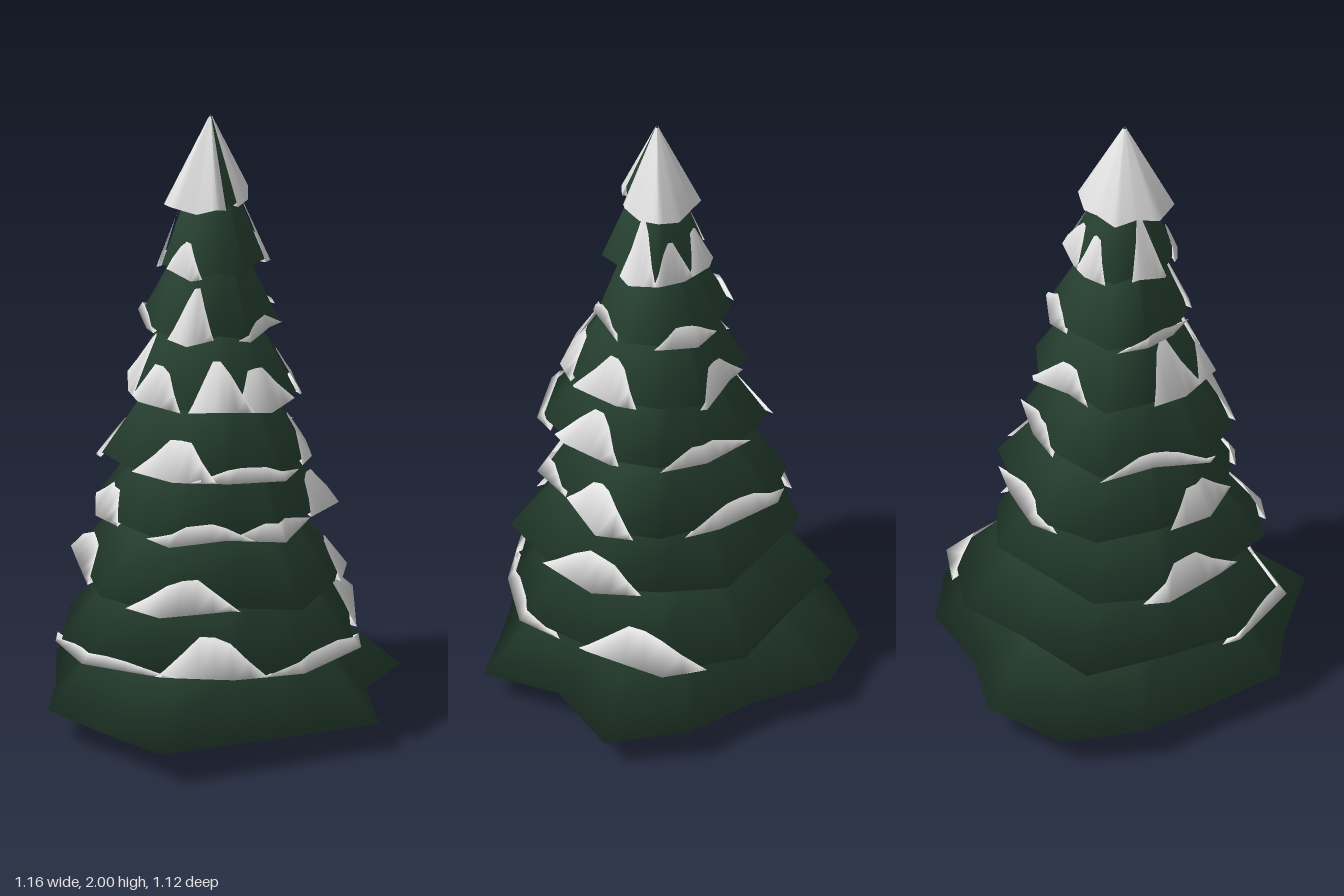
import * as THREE from 'three';

const CX = 0.04, CZ = 0.04; // tree axis

// Lowest rim as [x, z] corners, running from the left side towards the front
const SKIRT = [
  [0.51, 0.06], [0.4, 0.53], [0.12, 0.525], [-0.115, 0.56], [-0.31, 0.37], [-0.5, 0.215], [-0.585, -0.02],
  [-0.485, -0.275], [-0.23, -0.375], [-0.045, -0.54], [0.22, -0.565], [0.355, -0.32], [0.58, -0.19],
];

// reach: rim radius towards +x, +z, -x, -z; snow: [rim position 0-12, height]
const TIERS = [
  { reach: [0.44, 0.49, 0.54, 0.54], snow: [[1.3, 0.11], [3, 0.03], [9.3, 0.09], [11.5, 0.04]] },
  { reach: [0.45, 0.44, 0.44, 0.4], snow: [[1.7, 0.09], [4.5, 0.08], [10.1, 0.09]] },
  { reach: [0.35, 0.33, 0.4, 0.4], snow: [[4, 0.09], [1.5, 0.05], [0, 0.05], [10.2, 0.11], [7.6, 0.05]] },
  { reach: [0.35, 0.34, 0.34, 0.31], snow: [[2, 0.11], [4.9, 0.04], [0.6, 0.04], [10.6, 0.12], [8, 0.05]] },
  { reach: [0.28, 0.27, 0.28, 0.28], snow: [[2.8, 0.11], [4.2, 0.17], [1.1, 0.14], [0, 0.12], [10.3, 0.12], [7.3, 0.08]] },
  { reach: [0.18, 0.2, 0.23, 0.23], snow: [[1.9, 0.16], [11.3, 0.04], [4.5, 0.03], [8.2, 0.06]] },
  { reach: [0.17, 0.15, 0.16, 0.18], snow: [[4.6, 0.2], [2.4, 0.1], [9.8, 0.19], [7, 0.13], [8.4, 0.12]] },
  { reach: [0.09, 0.14, 0.12, 0.13], snow: [] },
];

function build(points, index) {
  const g = new THREE.BufferGeometry();
  g.setAttribute('position', new THREE.Float32BufferAttribute(points.flatMap(p => [p.x, p.y, p.z]), 3));
  g.setIndex(index);
  g.computeVertexNormals();
  return g;
}

// Twelve rim corners between the four reaches, with a jagged wobble
function makeRim(reach, n) {
  return Array.from({ length: 12 }, (_, i) => {
    const q = Math.floor(i / 3), f = (i % 3) / 3;
    const wobble = f ? 0.93 + 0.08 * Math.sin(i * 2.4 + n * 1.7) : 1;
    const r = THREE.MathUtils.lerp(reach[q], reach[(q + 1) % 4], f) * wobble;
    const a = i * Math.PI / 6;
    return [CX + r * Math.cos(a), CZ + r * Math.sin(a)];
  });
}

// Sloping branches and shallow underside, shaded smoothly round the rim
function makeTier(rim, y, height, k) {
  const n = rim.length;
  const polar = rim.map(([x, z]) => [Math.hypot(x - CX, z - CZ), Math.atan2(z - CZ, x - CX)]);
  const mean = polar.reduce((s, p) => s + p[0], 0) / n;
  const low = rim.map(([x, z], i) => new THREE.Vector3(x, y - 0.008 + (i % 2) * 0.018, z));
  const top = polar.map(([, a]) => new THREE.Vector3(
    CX + Math.cos(a) * mean * k, y + height, CZ + Math.sin(a) * mean * k));
  const hub = new THREE.Vector3(CX, y + 0.05, CZ);
  const index = [];
  for (let i = 0; i < n; i++) {
    const j = (i + 1) % n;
    index.push(i, n + i, j);
    if (k > 0) index.push(j, n + i, n + j);
    index.push(i, j, 2 * n);
  }
  return { low, top, geometry: build([...low, ...top, hub], index) };
}

// Point on a tier: u runs round the rim, t from top (0) to rim (1)
function onTier(tier, u, t) {
  const w = (u + 12) % 12, i = Math.floor(w), j = (i + 1) % 12;
  const low = tier.low[i].clone().lerp(tier.low[j], w - i);
  const top = tier.top[i].clone().lerp(tier.top[j], w - i);
  const a = w * Math.PI / 6, lift = 0.012 * t + 0.001;
  return top.lerp(low, t).add(new THREE.Vector3(Math.cos(a) * lift, 0.005 * t, Math.sin(a) * lift));
}

// Snow sheet over a span of the rim, folded under its edge; crest(s) gives its height share
function makeSnow(tier, u0, u1, share, crest) {
  const us = [u0];
  for (let u = Math.floor(u0 * 4 + 1) / 4; u < u1 - 0.01; u += 0.25) us.push(u);
  us.push(u1);
  const points = [], index = [];
  us.forEach((u, i) => {
    const c = crest((u - u0) / (u1 - u0)), b = 3 * i;
    const edge = onTier(tier, u, 1.03);
    const fold = edge.clone().lerp(new THREE.Vector3(CX, edge.y, CZ), 0.3 * c);
    points.push(fold, edge, onTier(tier, u, 1.03 * (1 - share * c)));
    if (i) for (const r of [b, b + 1]) index.push(r - 3, r - 2, r, r, r - 2, r + 1);
  });
  return build(points, index);
}

export function createModel() {
  const green = new THREE.MeshStandardMaterial({ color: 0x2b4736 });
  green.name = 'needleGreen';
  const white = new THREE.MeshStandardMaterial({ color: 0xeeeeee, side: THREE.DoubleSide });
  white.name = 'snowWhite';
  const brown = new THREE.MeshStandardMaterial({ color: 0x4a4039 });
  brown.name = 'barkBrown';

  const tree = new THREE.Group();
  tree.name = 'snowyTree';
  const add = (name, geometry, material) => {
    const mesh = new THREE.Mesh(geometry, material);
    mesh.name = name;
    tree.add(mesh);
    return mesh;
  };

  // Trunk
  add('trunk', new THREE.CylinderGeometry(0.06, 0.065, 0.2, 12), brown).position.set(0.03, 0.1, CZ);

  // Bottom skirt of branches
  add('branchTier1', makeTier(SKIRT, 0.1, 0.3, 0.52).geometry, green);

  // Upper branch tiers with their snow patches; the last one is the pointed tip
  const peak = s => Math.min(1, 1.4 * (1 - Math.abs(2 * s - 1)));
  TIERS.forEach(({ reach, snow }, n) => {
    const isTip = n === TIERS.length - 1;
    const y = 0.3 + 0.203 * n, height = isTip ? 2 - y : 0.3;
    const tier = makeTier(makeRim(reach, n), y, height, isTip ? 0 : 0.5 - 0.03 * n);
    add(`branchTier${n + 2}`, tier.geometry, green);
    snow.forEach(([u, h], i) => {
      const half = 0.6 + 0.02 / h; // low drifts spread wider
      add(`snowPatch${n + 2}_${i + 1}`, makeSnow(tier, u - half, u + half, h / height, peak), white);
    });
    // Snow cap, open along one narrow strip
    if (isTip) add('snowCap', makeSnow(tier, 0.4, 11.6, 0.97, () => 1), white);
  });
  return tree;
}
